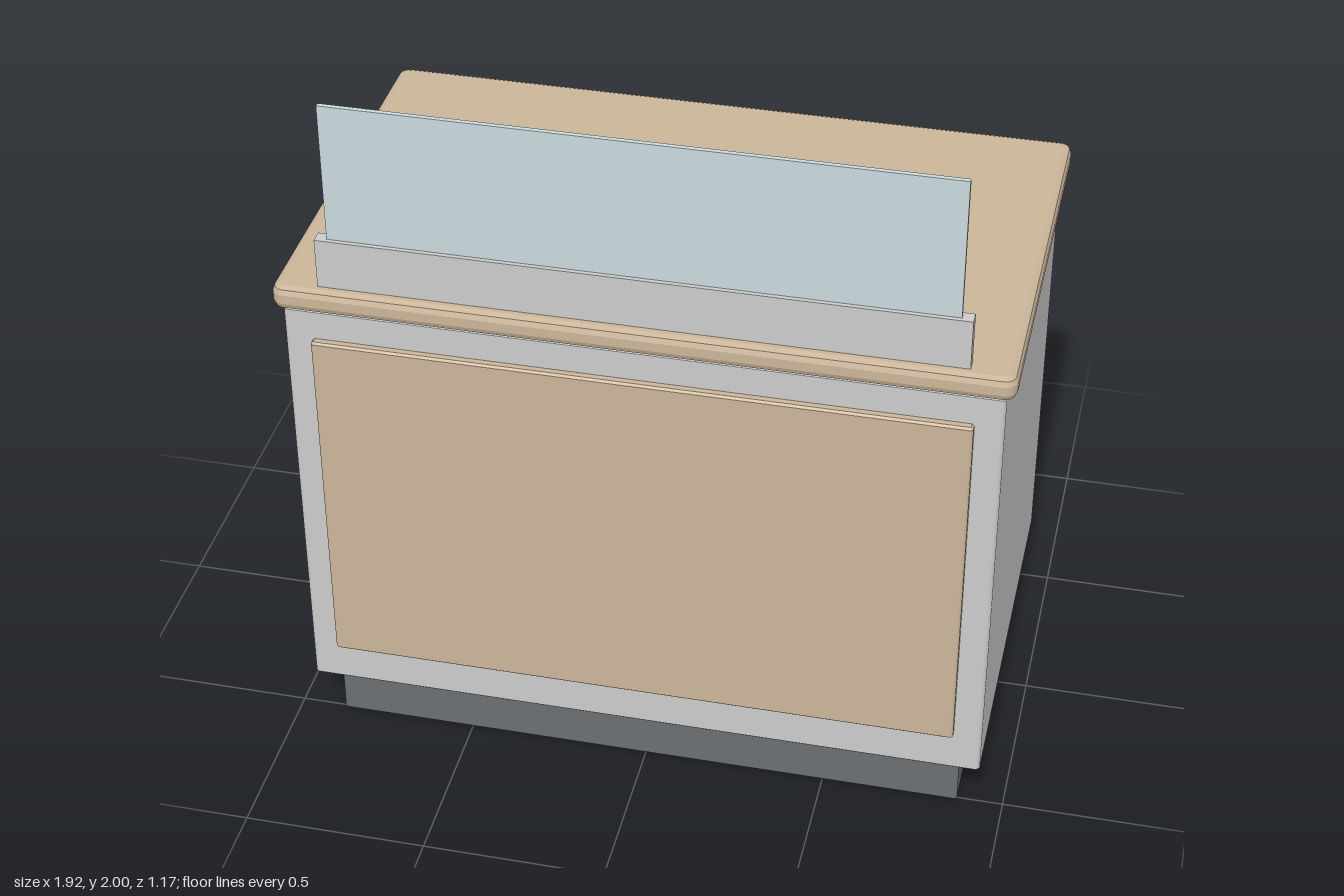
import * as THREE from 'three';

// Block with rounded upright corners and softened top and bottom edges
function block(name, color, [x0, x1], [y0, y1], [z0, z1], bevel, radius, bevelSegments = 1) {
  const w = (x1 - x0) / 2 - bevel, d = (z1 - z0) / 2 - bevel, r = radius;
  const s = new THREE.Shape();
  s.moveTo(-w + r, -d);
  s.lineTo(w - r, -d);
  s.absarc(w - r, -d + r, r, -Math.PI / 2, 0);
  s.lineTo(w, d - r);
  s.absarc(w - r, d - r, r, 0, Math.PI / 2);
  s.lineTo(-w + r, d);
  s.absarc(-w + r, d - r, r, Math.PI / 2, Math.PI);
  s.lineTo(-w, -d + r);
  s.absarc(-w + r, -d + r, r, Math.PI, Math.PI * 1.5);
  const g = new THREE.ExtrudeGeometry(s, {
    depth: y1 - y0 - 2 * bevel, curveSegments: 4,
    bevelEnabled: true, bevelSize: bevel, bevelThickness: bevel, bevelSegments,
  });
  g.rotateX(-Math.PI / 2);
  g.translate((x0 + x1) / 2, y0 + bevel, (z0 + z1) / 2);
  const mesh = new THREE.Mesh(g, new THREE.MeshStandardMaterial({ color }));
  mesh.name = name;
  return mesh;
}

// Plain square-edged block
function plain(name, color, [x0, x1], [y0, y1], [z0, z1]) {
  const g = new THREE.BoxGeometry(x1 - x0, y1 - y0, z1 - z0);
  g.translate((x0 + x1) / 2, (y0 + y1) / 2, (z0 + z1) / 2);
  const mesh = new THREE.Mesh(g, new THREE.MeshStandardMaterial({ color }));
  mesh.name = name;
  return mesh;
}

export function createModel() {
  const group = new THREE.Group();
  group.name = 'serviceCounter';
  const wood = 0xcab599;

  group.add(
    // Recessed dark base and cabinet
    block('plinth', 0x6b6f71, [-0.875, 0.875], [0, 0.162], [-0.513, 0.513], 0.006, 0.003),
    block('cabinet', 0xcccccc, [-0.935, 0.935], [0.16, 1.406], [-0.563, 0.563], 0.01, 0.004),
    // Raised wooden panel on the front
    block('frontPanel', wood, [-0.86, 0.86], [0.285, 1.315], [0.55, 0.585], 0.006, 0.003),
    // Overhanging worktop
    block('worktop', wood, [-0.96, 0.96], [1.404, 1.47], [-0.583, 0.583], 0.02, 0.015, 2),
    // Glass screen held in a rail along the front edge
    plain('screenRail', 0xd9d9dd, [-0.84, 0.84], [1.468, 1.61], [0.513, 0.55]),
    plain('glassScreen', 0xc9dade, [-0.81, 0.81], [1.5, 2], [0.525, 0.538]),
  );
  return group;
}
